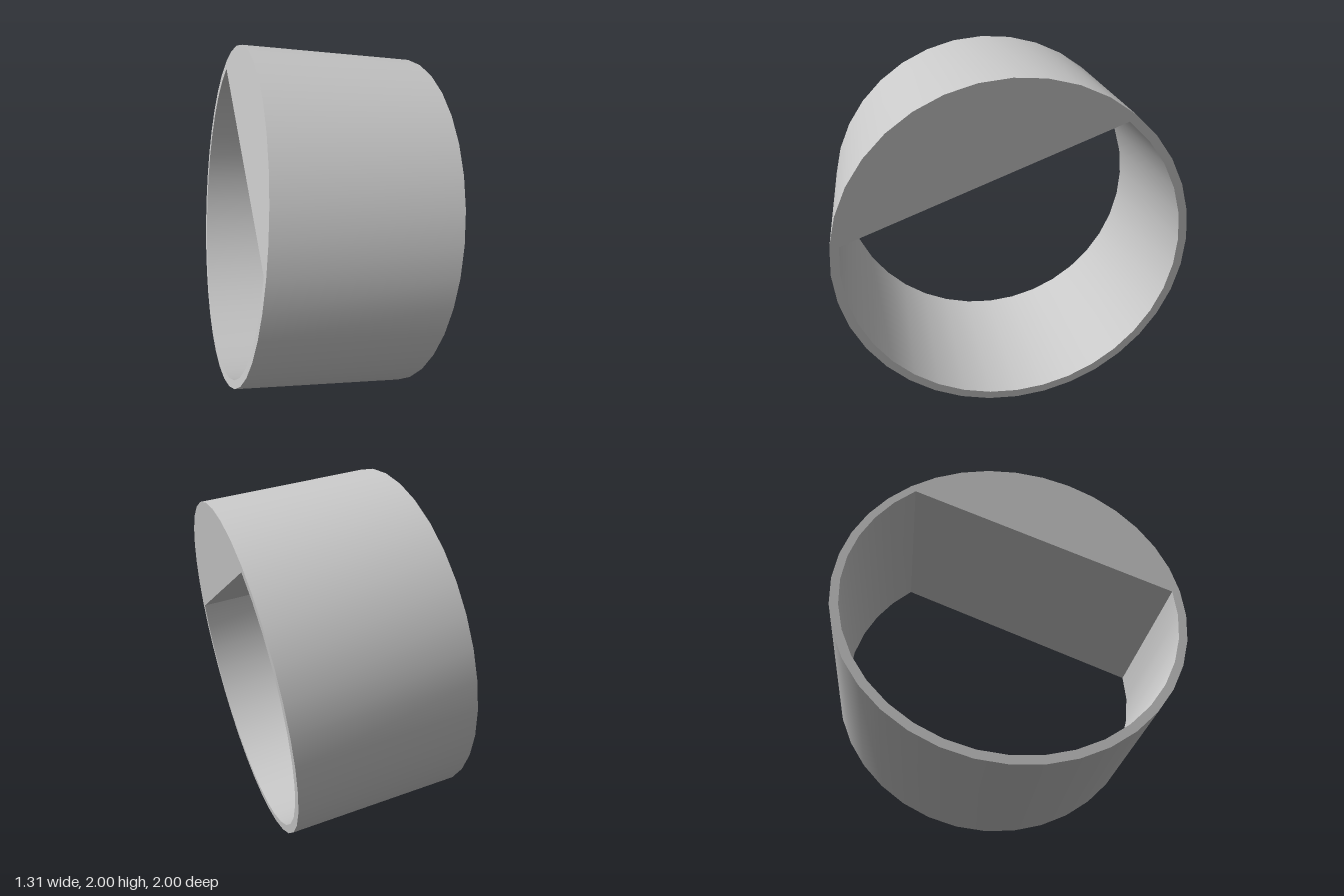
import * as THREE from 'three';
import { toCreasedNormals } from 'three/addons/utils/BufferGeometryUtils.js';

const OUTER = 0.944, INNER = 0.898, LENGTH = 0.95, SIDES = 36;

// Points on a circle from angle a to angle b, in steps of one facet
function arc(radius, a, b) {
  const n = Math.round((b - a) * SIDES / 360);
  return Array.from({ length: n + 1 }, (_, i) => {
    const t = THREE.MathUtils.degToRad(a + (b - a) * i / n);
    return new THREE.Vector2(radius * Math.cos(t), radius * Math.sin(t));
  });
}

export function createModel() {
  const group = new THREE.Group();
  group.name = 'tiltedRing';
  const grey = new THREE.MeshStandardMaterial({ color: 0xc8c8c8 });
  grey.name = 'light grey';

  // Ring section: the bore is cut flat by a chord spanning 120 degrees
  const section = new THREE.Shape(arc(OUTER, 0, 360).slice(0, -1));
  section.holes.push(new THREE.Path(arc(INNER, 120, 360)));
  const geometry = new THREE.ExtrudeGeometry(section, { depth: LENGTH, bevelEnabled: false });
  geometry.translate(0, 0, -LENGTH / 2);

  const ring = new THREE.Mesh(toCreasedNormals(geometry, 0.5), grey);
  ring.name = 'ringWithFlat';

  // Tilt: the ring's axis, and the direction to the chord's first corner
  const axis = new THREE.Vector3(0.979, -0.14, 0.142).normalize();
  const corner = new THREE.Vector3(-0.112, 0.115, 0.8875).normalize();
  const up = corner.clone().cross(axis).normalize();
  corner.crossVectors(axis, up);
  ring.quaternion.setFromRotationMatrix(
    new THREE.Matrix4().makeBasis(corner, up, axis.clone().negate()));
  ring.position.y = 1;
  group.add(ring);
  return group;
}
